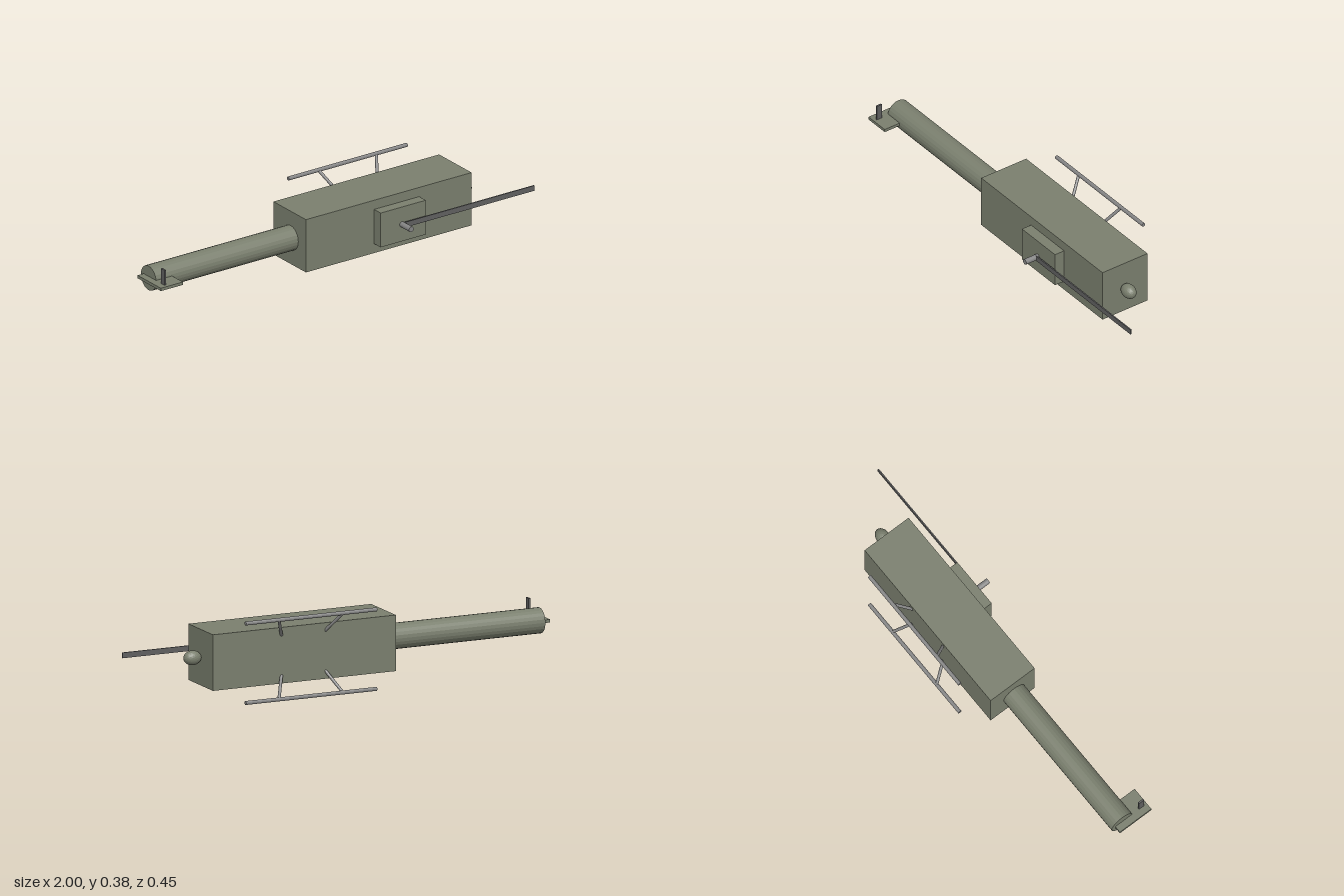
import * as THREE from 'three';

const olive = new THREE.MeshStandardMaterial({ color: 0x7a7f6e, flatShading: true });
const grey = new THREE.MeshStandardMaterial({ color: 0x858585, flatShading: true });
const dark = new THREE.MeshStandardMaterial({ color: 0x606060, flatShading: true });

// Centre line of the fuselage
const CY = 0.19, CZ = -0.012;

export function createModel() {
  const model = new THREE.Group();
  model.name = 'helicopter';

  const add = (name, geometry, material, x = 0, y = 0, z = 0) => {
    const mesh = new THREE.Mesh(geometry, material);
    mesh.name = name;
    mesh.position.set(x, y, z);
    model.add(mesh);
    return mesh;
  };

  // Box given by its lowest and highest corner
  const box = (name, material, a, b) =>
    add(name, new THREE.BoxGeometry(b[0] - a[0], b[1] - a[1], b[2] - a[2]), material,
      (a[0] + b[0]) / 2, (a[1] + b[1]) / 2, (a[2] + b[2]) / 2);

  // Round rod between two points
  const rod = (name, material, a, b, radius, sides = 12) => {
    const from = new THREE.Vector3(...a), to = new THREE.Vector3(...b);
    const dir = to.clone().sub(from);
    const mesh = add(name, new THREE.CylinderGeometry(radius, radius, dir.length(), sides), material);
    mesh.position.copy(from).lerp(to, 0.5);
    mesh.quaternion.setFromUnitVectors(new THREE.Vector3(0, 1, 0), dir.normalize());
    return mesh;
  };

  // Fuselage, engine housing, nose and tail boom
  box('fuselage', olive, [-0.195, 0.063, -0.143], [0.705, 0.317, 0.104]);
  box('engineHousing', olive, [0.175, 0.108, 0.104], [0.42, 0.273, 0.154]);
  add('nose', new THREE.IcosahedronGeometry(1, 3), olive, 0.742, CY, CZ).scale.set(0.042, 0.033, 0.031);
  rod('tailBoom', olive, [-0.967, CY, CZ], [-0.19, CY, CZ], 0.058, 24);

  // Main rotor: mast and a single blade
  rod('rotorMast', grey, [0.291, CY, 0.15], [0.291, CY, 0.225], 0.013, 16);
  box('rotorBlade', dark, [0.291, 0.178, 0.163], [1, 0.203, 0.169]);

  // Tail fin with its small rotor
  box('tailFin', olive, [-1, 0.184, -0.05], [-0.88, 0.198, 0.127]);
  box('tailRotorBlade', dark, [-0.968, CY, 0.083], [-0.96, 0.27, 0.111]);

  // Landing skids, mirrored about the centre line
  for (const [side, s] of [['left', 1], ['right', -1]]) {
    const y = CY + s * 0.18;
    rod(side + 'Skid', grey, [-0.065, y, -0.214], [0.58, y, -0.214], 0.009);
    for (const [end, foot, top] of [['Rear', 0.1, 0.15], ['Front', 0.415, 0.365]])
      rod(side + end + 'Strut', grey, [foot, y, -0.214], [top, CY + s * 0.09, -0.137], 0.007);
  }
  return model;
}
